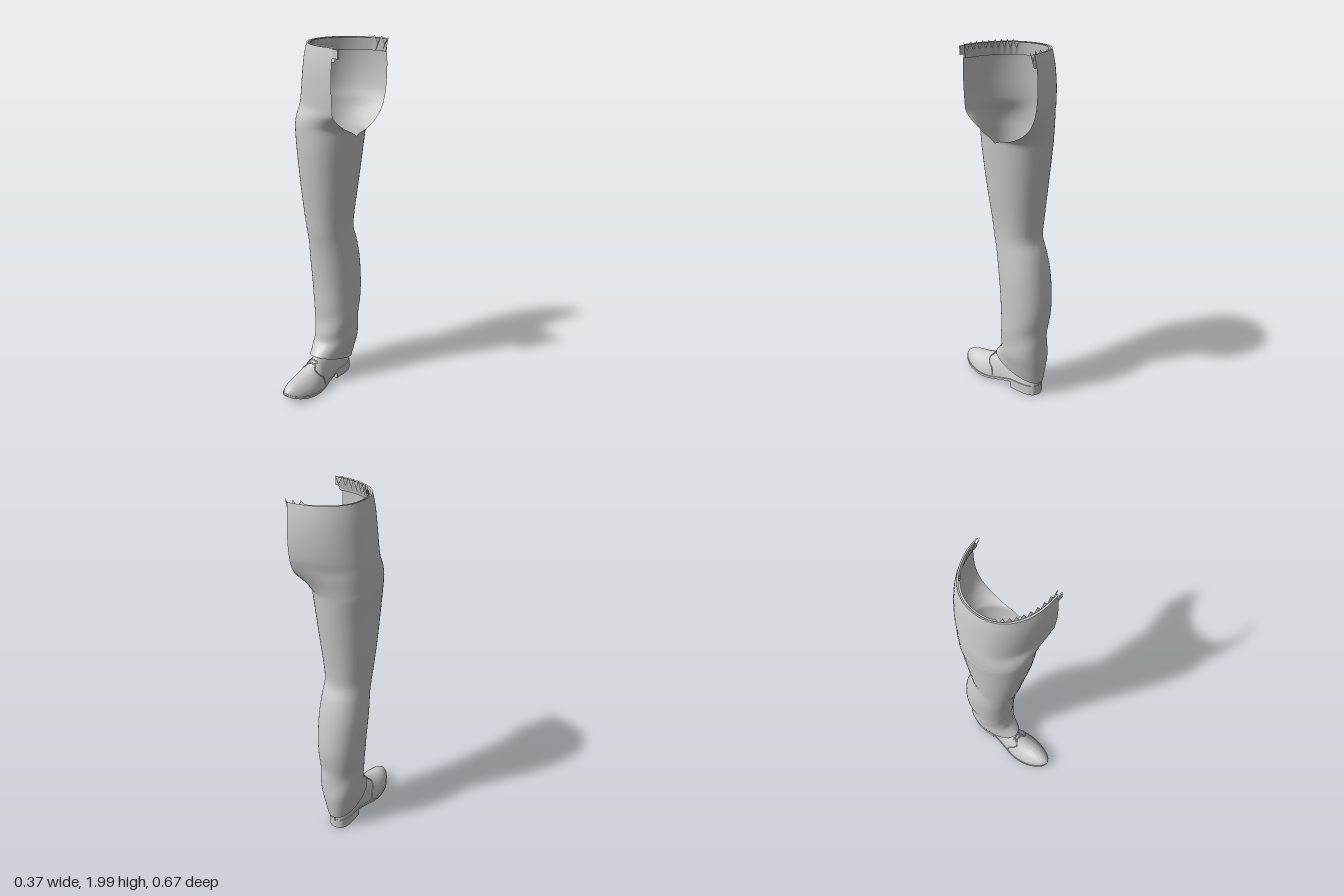
import * as THREE from 'three';
import { toCreasedNormals } from 'three/addons/utils/BufferGeometryUtils.js';

const cloth = new THREE.MeshStandardMaterial({ color: 0xcccccc, side: THREE.DoubleSide });
const leather = new THREE.MeshStandardMaterial({ color: 0xcccccc, side: THREE.DoubleSide });

// Skin a list of cross-sections, each an array of [x, y, z] with equal counts
function loft(rings, crease = 0.9) {
  const n = rings[0].length, index = [];
  for (let i = 0; i < rings.length - 1; i++) {
    for (let j = 0; j < n - 1; j++) {
      const a = i * n + j, b = a + 1, c = a + n, d = c + 1;
      index.push(a, c, b, b, c, d);
    }
  }
  const g = new THREE.BufferGeometry();
  g.setAttribute('position', new THREE.Float32BufferAttribute(rings.flat(2), 3));
  g.setIndex(index);
  return toCreasedNormals(g, crease);
}

// Smoothly insert extra rows between the rows of a table
function refine(rows, steps) {
  const out = [];
  for (let i = 0; i < rows.length - 1; i++) {
    const [p, a, b, q] = [rows[Math.max(i - 1, 0)], rows[i], rows[i + 1], rows[Math.min(i + 2, rows.length - 1)]];
    for (let s = 0; s < steps; s++) {
      const t = s / steps;
      out.push(a.map((v, k) => v + 0.5 * t * (b[k] - p[k] + t * (2 * p[k] - 5 * v + 4 * b[k] - q[k]
        + t * (3 * (v - b[k]) + q[k] - p[k])))));
    }
  }
  out.push(rows[rows.length - 1]);
  return out;
}

// Horizontal section: y, outer x, inner x, front z, back z, half opening angle, slope towards the front
function legRing([y, x0, x1, zf, zb, open, slope], n = 48) {
  const pow = v => Math.sign(v) * Math.abs(v) ** 0.92;
  const o = Math.max(open, 0);
  const rx = (x1 - x0) / (1 + pow(Math.cos(o))), cx = x0 + rx;
  const cz = (zf + zb) / 2, rz = (zf - zb) / 2;
  return Array.from({ length: n + 1 }, (_, j) => {
    const a = o + (j / n) * 2 * (Math.PI - o);
    // soft folds of cloth around the shin
    const fold = 1 + 0.018 * Math.exp(-(((y - 0.33) / 0.12) ** 2)) * Math.sin(3 * a + y * 32);
    const z = cz + rz * pow(Math.sin(a)) * fold;
    return [cx + rx * pow(Math.cos(a)) * fold, y + slope * (z - cz), z];
  });
}

const legRows = [
  [0.135, -0.115, 0.06, 0.08, -0.24, 0, 0.34],
  [0.19, -0.125, 0.075, 0.045, -0.25, 0, 0.27],
  [0.25, -0.13, 0.09, 0.02, -0.26, 0, 0.12],
  [0.32, -0.132, 0.095, 0.015, -0.258, 0, 0],
  [0.4, -0.135, 0.10, 0.01, -0.255, 0, 0],
  [0.5, -0.145, 0.103, 0.015, -0.272, 0, 0],
  [0.6, -0.15, 0.105, 0.02, -0.275, 0, 0],
  [0.75, -0.155, 0.105, 0.035, -0.26, 0, 0],
  [0.87, -0.148, 0.098, 0.052, -0.232, 0, 0],
  [0.95, -0.148, 0.095, 0.068, -0.202, 0, 0],
  [1.05, -0.158, 0.102, 0.082, -0.208, 0, 0],
  [1.2, -0.17, 0.12, 0.105, -0.225, 0, 0],
  [1.4, -0.182, 0.14, 0.133, -0.248, 0, 0.05],
  [1.5, -0.19, 0.15, 0.14, -0.256, 0, 0.14],
  [1.54, -0.19, 0.15, 0.143, -0.262, 0.5, 0.14],
  [1.58, -0.19, 0.15, 0.145, -0.275, 0.95, 0.1],
  [1.64, -0.188, 0.15, 0.15, -0.305, 1.5, 0.02],
  [1.7, -0.18, 0.15, 0.155, -0.325, 1.57, 0],
  [1.8, -0.167, 0.15, 0.16, -0.333, 1.57, 0],
  [1.9, -0.153, 0.15, 0.157, -0.328, 1.57, 0],
  [1.975, -0.137, 0.155, 0.145, -0.315, 1.57, 0],
];

// Shoe along z: z, half width, underside y, upper top y
const shoeRows = [
  [-0.23, 0.004, 0.045, 0.10],
  [-0.222, 0.032, 0.045, 0.13],
  [-0.2, 0.052, 0.044, 0.145],
  [-0.15, 0.064, 0.043, 0.155],
  [-0.06, 0.064, 0.038, 0.17],
  [0, 0.07, 0.026, 0.18],
  [0.07, 0.083, 0.013, 0.176],
  [0.105, 0.09, 0.01, 0.15],
  [0.15, 0.093, 0.01, 0.13],
  [0.2, 0.088, 0.013, 0.117],
  [0.25, 0.075, 0.021, 0.11],
  [0.29, 0.056, 0.032, 0.1],
  [0.32, 0.032, 0.044, 0.085],
  [0.335, 0.004, 0.052, 0.068],
];
const shoeX = -0.031;

function shoePoint([z, w, base, top], a, lift = 0) {
  const b = base + 0.012, h = top - b, c = Math.cos(a);
  const side = Math.sin(a) * (w - 0.005 * Math.min(1, w / 0.02) + lift);
  // full near the sole, narrowing to the instep
  return [shoeX + side * (c > 0 ? 1 - 0.15 * c * h / 0.15 : 1), b + Math.max(c, 0) * (h + lift), z];
}

function shoeRowAt(z) {
  const i = Math.max(shoeRows.findIndex(r => r[0] >= z), 1);
  const [a, b] = [shoeRows[i - 1], shoeRows[i]];
  const t = (z - a[0]) / (b[0] - a[0]);
  return a.map((v, k) => v + t * (b[k] - v));
}

export function createModel() {
  const model = new THREE.Group();
  const add = (name, geometry, material) => {
    const mesh = new THREE.Mesh(geometry, material);
    mesh.name = name;
    model.add(mesh);
  };

  // Trouser leg, opening along the inner seam above the crotch
  add('trouserLeg', loft(refine(legRows, 3).map(r => legRing(r)), 1.2), cloth);

  // Folded waist edge with a ragged inner facing
  const rim = legRing(legRows[legRows.length - 1]);
  const innerTop = legRing([1.97, -0.12, 0.175, 0.127, -0.303, 1.57, 0]);
  const innerLow = legRing([1.905, -0.13, 0.152, 0.14, -0.312, 1.57, 0]);
  add('waistFold', loft([rim, innerTop.map(([x, y, z], j) => {
    const outer = rim[j];
    return [(x + outer[0]) / 2, 1.972, (z + outer[2]) / 2];
  })]), cloth);
  add('waistFacing', loft([innerTop.map(([x, , z], j) => {
    const ragged = j < 18 || j > 43;
    return [x, ragged ? (j % 2 ? 1.945 : 1.988) : 1.972, z];
  }), innerLow]), cloth);
  add('frontWaistTab', new THREE.BoxGeometry(0.035, 0.045, 0.006).translate(0.165, 1.948, 0.148), cloth);

  // Shoe upper
  const rows = refine(shoeRows, 3);
  const arc = Array.from({ length: 25 }, (_, j) => -Math.PI / 2 + (j / 24) * Math.PI);
  add('shoeUpper', loft(rows.map(r => arc.map(a => shoePoint(r, a))), 1.1), leather);

  // Sole with toe spring and raised arch
  const slab = (z, w, low, high) => [[-w, high], [w, high], [w, low], [-w, low], [-w, high]]
    .map(([x, y]) => [shoeX + x, y, z]);
  add('sole', loft(rows.map(([z, w, b]) => slab(z, w, b, b + 0.014)), 0.6), leather);

  // Heel block
  const heelRows = rows.filter(r => r[0] < -0.055).map(([z, w, b]) => slab(z, w * 0.98, 0, b + 0.003));
  const capRow = ring => ring.map(() => [shoeX, 0.02, ring[0][2]]);
  add('heel', loft([capRow(heelRows[0]), ...heelRows, capRow(heelRows[heelRows.length - 1])], 0.6), leather);

  // Lacing flaps edged by a raised seam, one each side
  for (const side of [-1, 1]) {
    const seam = [[0.075, 0.3], [0.1, 0.32], [0.118, 0.55], [0.105, 0.9], [0.08, 1.2], [0.07, 1.5]]
      .map(([z, a]) => new THREE.Vector3(...shoePoint(shoeRowAt(z), side * a, 0.001)));
    add('flapSeam', new THREE.TubeGeometry(new THREE.CatmullRomCurve3(seam), 24, 0.0035, 6), leather);
  }

  // Laces across the instep
  for (const z of [0.082, 0.1]) {
    const lace = [-0.45, -0.2, 0, 0.2, 0.45]
      .map(a => new THREE.Vector3(...shoePoint(shoeRowAt(z), a, 0.002)));
    add('lace', new THREE.TubeGeometry(new THREE.CatmullRomCurve3(lace), 12, 0.004, 6), leather);
  }
  return model;
}
